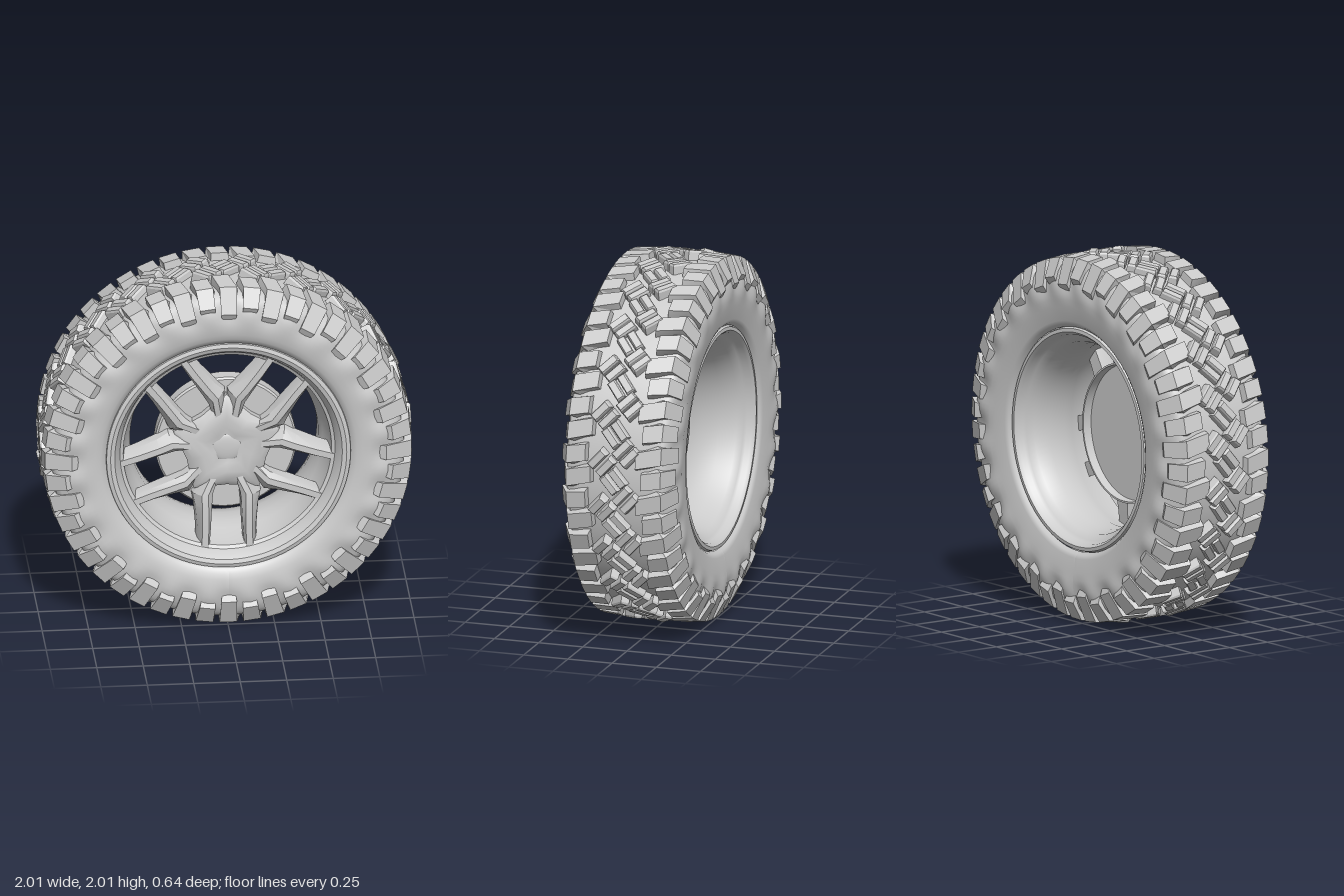
import * as THREE from 'three';
import { mergeGeometries, toCreasedNormals } from 'three/addons/utils/BufferGeometryUtils.js';

const TAU = Math.PI * 2;
const V = (x, y, z) => new THREE.Vector3(x, y, z);
const grey = new THREE.MeshStandardMaterial({ color: 0xcccccc });
const greyThin = new THREE.MeshStandardMaterial({ color: 0xcccccc, side: THREE.DoubleSide });

// Skin a list of equal-length rings (counter-clockwise about the loft direction) and cap both ends.
function loft(rings) {
  const n = rings[0].length, idx = [];
  const pos = rings.flat().flatMap((p) => [p.x, p.y, p.z]);
  for (let i = 0; i < rings.length - 1; i++) {
    for (let j = 0; j < n; j++) {
      const a = i * n + j, b = i * n + (j + 1) % n;
      idx.push(a, b, b + n, a, b + n, a + n);
    }
  }
  const e = (rings.length - 1) * n;
  for (let j = 1; j < n - 1; j++) idx.push(0, j + 1, j, e, e + j, e + j + 1);
  const g = new THREE.BufferGeometry();
  g.setAttribute('position', new THREE.Float32BufferAttribute(pos, 3));
  g.setIndex(idx);
  return g;
}

// Revolve a [radius, z] profile about the wheel axis.
function revolve(profile, segments = 96) {
  const g = new THREE.LatheGeometry(profile.map(([r, z]) => new THREE.Vector2(r, z)), segments);
  return g.rotateX(Math.PI / 2);
}

function add(group, name, geometry, material = grey) {
  const mesh = new THREE.Mesh(geometry, material);
  mesh.name = name;
  group.add(mesh);
  return mesh;
}

const creased = (g, angle = 0.5) => {
  g.deleteAttribute('uv');
  return toCreasedNormals(g, angle);
};

// Tyre carcass with scalloped sidewalls.
function tyreBody() {
  const front = [[0.952, 0.2], [0.945, 0.262], [0.915, 0.285], [0.88, 0.302], [0.85, 0.313], [0.82, 0.318],
    [0.79, 0.317], [0.76, 0.314], [0.72, 0.307], [0.69, 0.297], [0.67, 0.286], [0.655, 0.268]];
  const back = front.map(([r, z]) => [r < 0.7 ? r - 0.045 : r, -z]).reverse();
  const g = revolve([...back, [0.957, 0], ...front], 192);
  const p = g.attributes.position;
  for (let i = 0; i < p.count; i++) {
    const x = p.getX(i), y = p.getY(i), z = p.getZ(i);
    const r = Math.hypot(x, y), a = Math.atan2(y, x);
    if (Math.abs(z) < 0.27) continue;
    const fade = Math.max(0, 1 - Math.abs(r - 0.84) / 0.09);
    const wave = 0.5 + 0.5 * Math.cos(24 * a + (z > 0 ? 0 : 1.5));
    p.setZ(i, z - Math.sign(z) * 0.022 * fade * wave);
  }
  g.computeVertexNormals();
  return g;
}

// One shoulder lug: tread face, chamfer and foot on the sidewall; x radial, y tangential.
function shoulderLug(long) {
  const zi = long ? 0.118 : 0.15;
  const foot = long ? 0.8 : 0.84;
  // [z, radius, half width]
  const profile = [[0.267, 0.985, 0.047], [zi + 0.008, 0.995, 0.045], [zi, 0.93, 0.054], [0.22, 0.93, 0.056],
    [0.298, foot, 0.036], [0.321, foot + 0.045, 0.042]];
  const side = (s) => profile.map(([z, r, w]) => V(r, s * w + 0.45 * Math.max(0, 0.2 - z), z));
  return loft([side(-1), side(1)]);
}

// One slanted centre bar with bevelled top.
function treadBar(s, z, tilt, offset) {
  const ring = (r, k) => [[-1, -1], [1, -1], [1, 1], [-1, 1]].map(([a, b]) => {
    const l = a * (0.06 - k), w = offset + b * (0.026 - k);
    const c = Math.cos(tilt), d = Math.sin(tilt);
    return V(r, s + l * c - w * d, z + l * d + w * c);
  });
  return loft([ring(0.94, 0), ring(0.985, 0.002), ring(0.996, 0.008)]);
}

function tread() {
  const parts = [];
  for (let i = 0; i < 48; i++) {
    const a = (i / 48) * TAU;
    parts.push(shoulderLug(i % 2 === 0).rotateZ(a));
    parts.push(shoulderLug(i % 2 === 1).rotateX(Math.PI).rotateZ(a + 0.03));
  }
  // Basket weave of paired bars along the centre
  for (let i = 0; i < 24; i++) {
    for (const o of [-0.031, 0.031]) {
      const bars = [treadBar(0, 0, 0.7, o), treadBar(0.098, 0.068, -0.75, o), treadBar(-0.098, -0.068, -0.75, o)];
      for (const b of bars) parts.push(b.rotateZ((i / 24) * TAU));
    }
  }
  return toCreasedNormals(mergeGeometries(parts), 0.3);
}

// One of the ten spokes; side is +1 or -1 across the axis of its pair.
function spoke(side) {
  // [radius, inner edge, outer edge, back z, front z]
  const sections = [[0.15, 0.03, 0.1, 0.1, 0.175], [0.27, 0.07, 0.19, 0.1, 0.2], [0.34, 0.076, 0.176, 0.1, 0.208],
    [0.46, 0.082, 0.166, 0.11, 0.212], [0.575, 0.09, 0.165, 0.12, 0.215]];
  return loft(sections.map(([u, vi, vo, zb, zf]) => {
    const m = vi + (vo - vi) * 0.4;
    const ring = [[vi, zb], [vo, zb], [vo - 0.008, zf - 0.05], [m + 0.018, zf], [m - 0.016, zf], [vi + 0.004, zf - 0.03]]
      .map(([v, z]) => V(u, side * v, z));
    return side > 0 ? ring : ring.reverse();
  }));
}

// Ten-sided star hub with a dished middle.
function hub() {
  const ring = (k, z, dip) => Array.from({ length: 10 }, (_, j) => {
    const a = -Math.PI / 2 + (j / 10) * TAU;
    const r = k * (j % 2 ? 0.3 : 0.225);
    return V(r * Math.cos(a), r * Math.sin(a), z - (j % 2 ? dip : 0));
  });
  return loft([ring(1, 0.09, 0), ring(1, 0.155, 0.005), ring(0.85, 0.182, 0.01), ring(0.6, 0.195, 0.015),
    ring(0.38, 0.185, 0.008), ring(0.15, 0.172, 0)]);
}

export function createModel() {
  const model = new THREE.Group();
  model.name = 'wheel';
  const wheel = new THREE.Group();
  wheel.name = 'wheelAssembly';
  wheel.position.y = 1;
  model.add(wheel);

  add(wheel, 'tyreBody', tyreBody());
  add(wheel, 'treadBlocks', tread());

  // Rim: front lip, stepped barrel and rear lip
  const rim = [[0.66, 0.262], [0.656, 0.282], [0.635, 0.288], [0.612, 0.28], [0.592, 0.25], [0.578, 0.215],
    [0.56, 0.205], [0.55, 0.14], [0.525, 0.06], [0.506, 0], [0.506, -0.1], [0.522, -0.19], [0.55, -0.222],
    [0.562, -0.235], [0.568, -0.262], [0.583, -0.28], [0.602, -0.278], [0.61, -0.255]];
  add(wheel, 'rim', creased(revolve(rim), 0.6), greyThin);

  // Brake drum: shallow cup open to the rear
  const drum = [[0, 0.075], [0.368, 0.075], [0.37, 0.025], [0.38, 0.025], [0.38, 0.1], [0.37, 0.11], [0, 0.11]];
  add(wheel, 'brakeDrum', creased(revolve(drum, 64)));

  const spider = new THREE.Group();
  spider.name = 'spokes';
  wheel.add(spider);
  for (const side of [1, -1]) {
    const geometry = toCreasedNormals(spoke(side), 0.45);
    for (let i = 0; i < 5; i++) {
      add(spider, 'spoke', geometry).rotation.z = -Math.PI / 2 + (i / 5) * TAU;
    }
  }
  add(wheel, 'hub', toCreasedNormals(hub(), 0.7));

  // Small domed centre cap
  const cap = new THREE.SphereGeometry(0.08, 32, 16).scale(1, 1, 0.2).translate(0, 0, 0.17);
  add(wheel, 'centreCap', cap);
  return model;
}
